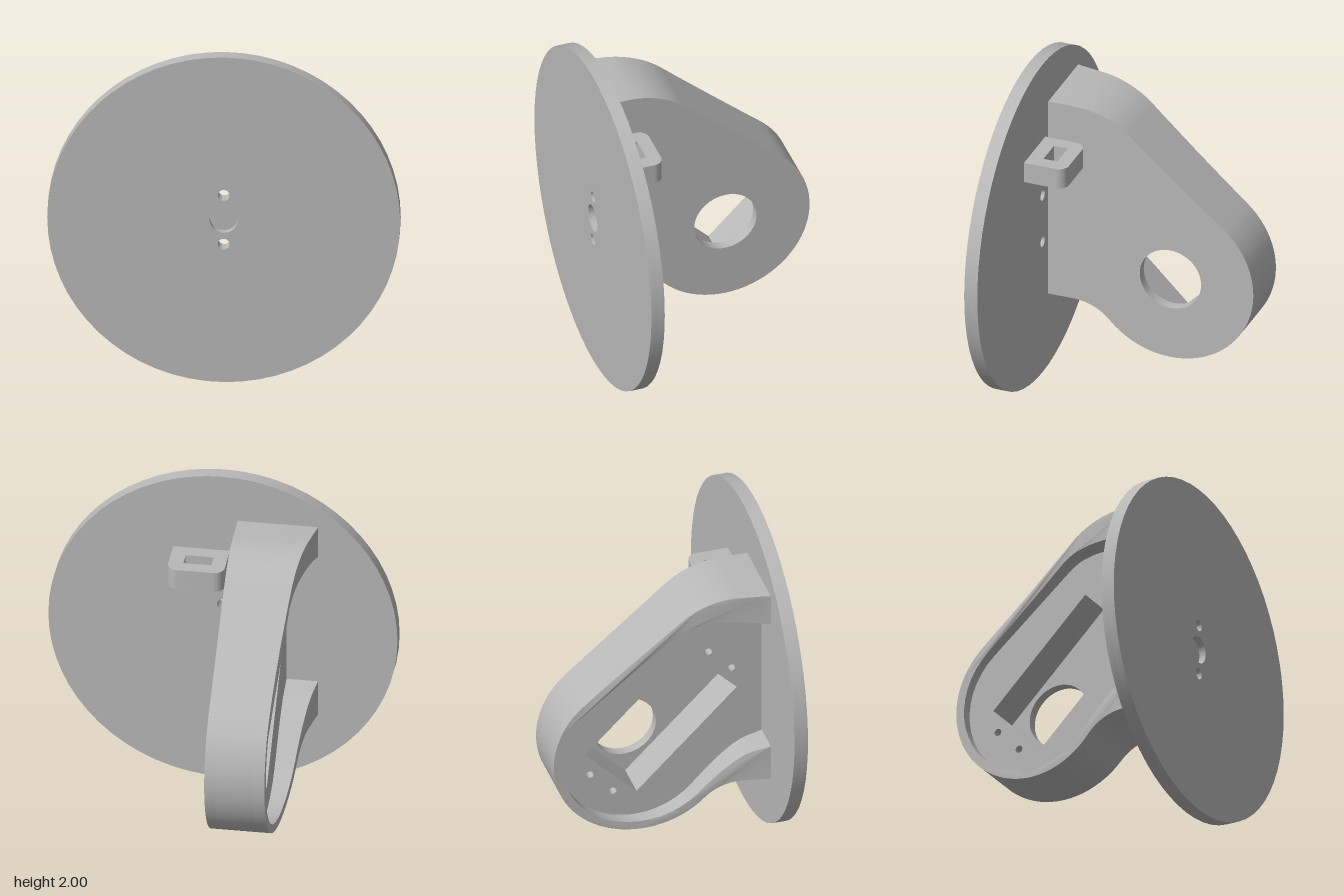
import * as THREE from 'three';
import { toCreasedNormals } from 'three/addons/utils/BufferGeometryUtils.js';

const grey = new THREE.MeshStandardMaterial({ color: 0xb8b8b8 });
grey.name = 'grey plastic';

const BACK = 0.585, FRONT = 0.665;       // faces of the disc
const HUB = [-0.16, 0.715];              // shaft hole centre (z, y)
const FACE = 0.085, LIP = 0.145, FLOOR = 0.365; // bracket depths along -x

// drop coincident points and split long straight runs
function tidy(points, step = 0.06) {
  const out = [];
  for (const p of points) {
    const q = out[out.length - 1];
    if (q) {
      const d = q.distanceTo(p);
      if (d < 0.004) continue;
      const n = Math.ceil(d / step);
      for (let i = 1; i < n; i++) out.push(q.clone().lerp(p, i / n));
    }
    out.push(p.clone());
  }
  return out;
}

function circle(x, y, r) {
  return new THREE.Path().absarc(x, y, r, 0, Math.PI * 2, false);
}

function extrude(shape, depth, segments = 16) {
  return new THREE.ExtrudeGeometry(shape, { depth, bevelEnabled: false, curveSegments: segments });
}

function add(group, name, geometry) {
  const mesh = new THREE.Mesh(toCreasedNormals(geometry, 0.5), grey);
  mesh.name = name;
  group.add(mesh);
}

// side outline of the bracket in (z, y)
function outerPoints() {
  const p = new THREE.Path();
  p.moveTo(BACK, 1.715);
  p.lineTo(0.42, 1.715);
  p.absarc(0.42, 1.21, 0.505, Math.PI / 2, 2.277, false);
  p.absarc(...HUB, 0.505, 2.277, 5.535, false);
  p.absarc(0.43, 0.167, 0.3, 2.393, Math.PI / 2, true);
  p.lineTo(BACK, 0.467);
  return tidy(p.getPoints(20));
}

// inside of the rim wall, from the lower foot round to the upper foot
function innerPoints() {
  const v = (x, y) => new THREE.Vector2(x, y);
  const p = new THREE.Path();
  p.moveTo(BACK, 0.687);
  p.splineThru([v(0.45, 0.645), v(0.33, 0.56), v(0.24, 0.475), v(0.173, 0.405)]);
  p.absarc(...HUB, 0.455, 5.53, 2.277, true);
  p.lineTo(0.04, 1.484);
  p.splineThru([v(0.12, 1.53), v(0.25, 1.555), v(0.42, 1.55), v(BACK, 1.52)]);
  return tidy(p.getPoints(12));
}

// point in the motor's tilted frame: s along its length, t across it
function motorPoint(s, t) {
  const k = Math.SQRT1_2;
  return new THREE.Vector2(HUB[0] + k * (s + t), HUB[1] + k * (s - t));
}

function createModel() {
  const model = new THREE.Group();
  model.name = 'wheelMount';

  // disc: two layers, so the centre recess stays blind
  const disc = new THREE.Group();
  disc.name = 'disc';
  for (const [name, z, depth, recess] of [
    ['discBack', BACK, 0.04, false], ['discFront', BACK + 0.04, FRONT - BACK - 0.04, true]]) {
    const s = new THREE.Shape().absarc(0, 1, 1, 0, Math.PI * 2, false);
    s.holes.push(circle(0, 1.15, 0.033), circle(0, 0.85, 0.033));
    if (recess) s.holes.push(circle(0, 1, 0.08));
    add(disc, name, extrude(s, depth, 32).translate(0, 0, z));
  }
  model.add(disc);

  const bracket = new THREE.Group();
  bracket.name = 'bracket';
  const outer = outerPoints();

  // face plate with the round shaft hole
  const face = new THREE.Shape(outer);
  face.holes.push(circle(...HUB, 0.187));
  add(bracket, 'facePlate', extrude(face, LIP - FACE, 24).translate(0, 0, FACE).rotateY(-Math.PI / 2));

  // motor block with a tilted pocket and four screw holes
  const block = new THREE.Shape(outer);
  block.holes.push(new THREE.Path([
    motorPoint(-0.21, -0.216), motorPoint(0.63, -0.216),
    motorPoint(0.63, 0.216), motorPoint(-0.21, 0.216)]));
  for (const s of [-0.288, 0.705]) for (const t of [-0.096, 0.096]) {
    const c = motorPoint(s, t);
    block.holes.push(circle(c.x, c.y, 0.022));
  }
  add(bracket, 'motorBlock', extrude(block, FLOOR - LIP, 8).translate(0, 0, LIP).rotateY(-Math.PI / 2));

  // rim wall, flaring outward towards the disc
  const rim = extrude(new THREE.Shape([...outer, ...innerPoints()]), 1);
  const pos = rim.attributes.position;
  for (let i = 0; i < pos.count; i++) {
    const t = Math.max(0, (pos.getX(i) + 0.667) / 1.252);
    pos.setZ(i, pos.getZ(i) > 0.5 ? 0.43 + 0.115 * Math.pow(t, 2.2) : FLOOR);
  }
  add(bracket, 'rimWall', rim.rotateY(-Math.PI / 2));
  model.add(bracket);

  // slotted lug beside the bracket, drawn in (x, z)
  const L = -0.04, R = 0.285, Z = 0.335, r = 0.06;
  const lug = new THREE.Shape();
  lug.moveTo(L, BACK);
  lug.lineTo(L, Z + r);
  lug.absarc(L + r, Z + r, r, Math.PI, Math.PI * 1.5, false);
  lug.absarc(R - r, Z + r, r, Math.PI * 1.5, Math.PI * 2, false);
  lug.lineTo(R, BACK);
  lug.holes.push(new THREE.Path([[0.04, 0.415], [0.2, 0.415], [0.2, 0.5], [0.04, 0.5]]
    .map(([x, z]) => new THREE.Vector2(x, z))));
  add(model, 'slottedLug', extrude(lug, 0.125, 8).rotateX(Math.PI / 2).translate(0, 1.51, 0));

  return model;
}

export { createModel };
